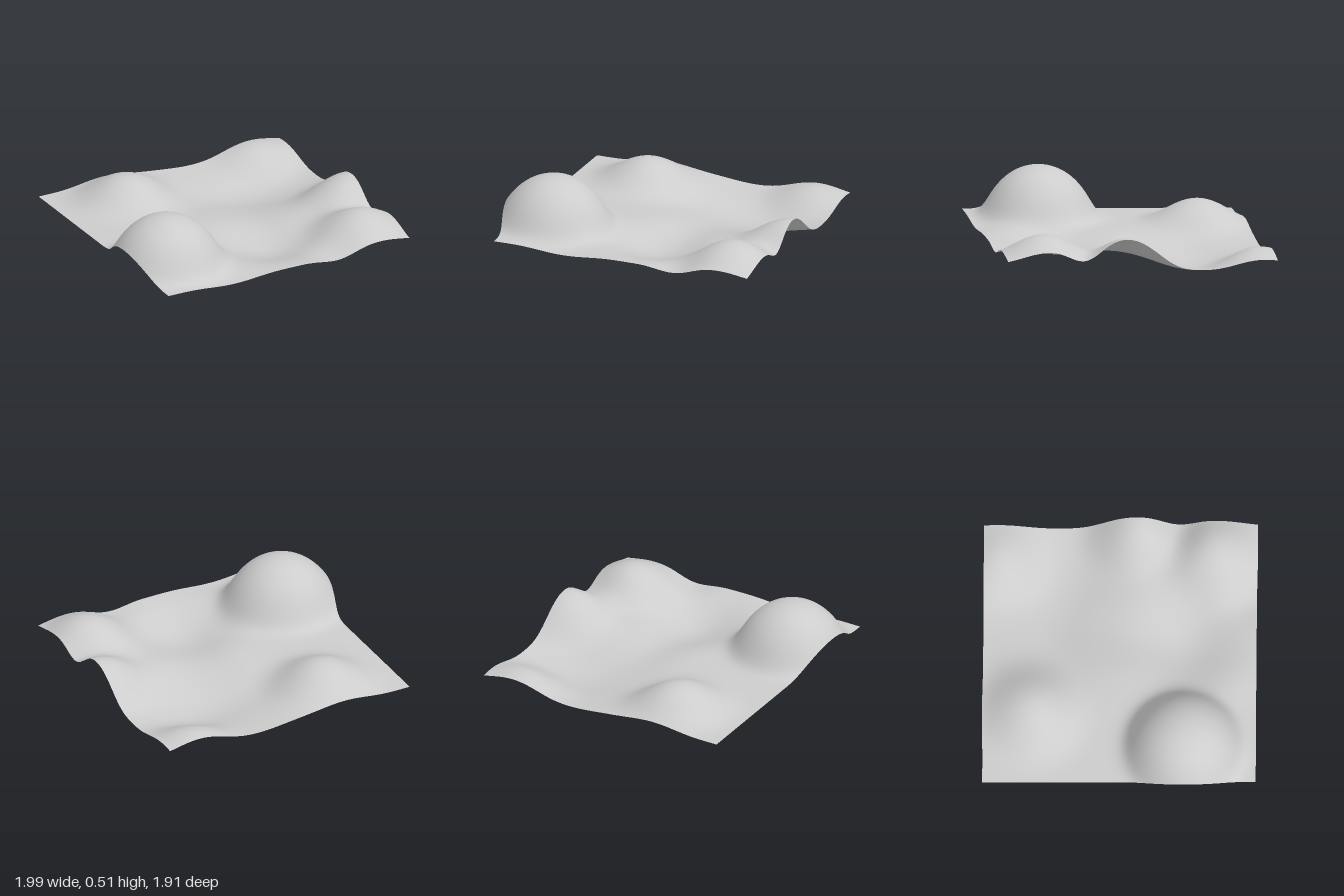
import * as THREE from 'three';

// Hills (h > 0) and hollows (h < 0): centre, height and radii of each
const FEATURES = [
  { x: -0.67, z: 0.445, h: 0.36, rx: 0.60, rz: 0.585 },  // tall dome on the edge
  { x: -0.40, z: -0.63, h: 0.172, rx: 0.58, rz: 0.57 },  // back hill
  { x: 0.76, z: 0.65, h: 0.16, rx: 0.54, rz: 0.55 },     // front hill
  { x: 0.96, z: 0.10, h: 0.17, rx: 0.56, rz: 0.52 },     // edge hill
  { x: 0.74, z: -0.81, h: 0.085, rx: 0.50, rz: 0.47 },   // low back ridge
  { x: 0.49, z: -0.43, h: -0.12, rx: 1.10, rz: 0.77 },   // wide hollow
  { x: 0.13, z: 0.46, h: -0.10, rx: 0.61, rz: 0.61 },    // front hollow
  { x: 0.22, z: 0.05, h: -0.03, rx: 0.45, rz: 0.45 },    // saddle between the hollows
  { x: 0.97, z: 0.39, h: -0.04, rx: 0.45, rz: 0.29 },    // valley between the right hills
  { x: -0.40, z: 0.98, h: -0.025, rx: 0.50, rz: 0.40 },  // dips along the front edge
  { x: 0.42, z: 0.95, h: -0.03, rx: 0.34, rz: 0.40 },
  { x: 0.25, z: -0.95, h: -0.025, rx: 0.50, rz: 0.45 },  // dip along the back edge
];

// Moves a point of the flat sheet up, and outward on the flanks of hills
function sculpt(p) {
  const { x, z } = p;
  p.y = 0.143 + 0.03 * z - 0.005 * x;
  for (const f of FEATURES) {
    const u = (x - f.x) / f.rx;
    const v = (z - f.z) / f.rz;
    const fall = Math.max(0, 1 - u * u - v * v) ** 4;
    p.y += f.h * fall;
    if (f.h > 0) {
      const swell = 8.8 * f.h ** 3 * fall;
      p.x += swell * u;
      p.z += swell * v;
    }
  }
  return p;
}

export function createModel() {
  const model = new THREE.Group();
  model.name = 'terrain';

  const lightGrey = new THREE.MeshStandardMaterial({ color: 0xcccccc, side: THREE.DoubleSide });
  lightGrey.name = 'light grey';

  // Thin ground sheet
  const geometry = new THREE.PlaneGeometry(1.9, 1.9, 140, 140);
  geometry.rotateX(-Math.PI / 2);
  geometry.translate(0.03, 0, -0.005);

  const position = geometry.attributes.position;
  const point = new THREE.Vector3();
  for (let i = 0; i < position.count; i++) {
    sculpt(point.fromBufferAttribute(position, i));
    position.setXYZ(i, point.x, point.y, point.z);
  }
  geometry.computeVertexNormals();

  const ground = new THREE.Mesh(geometry, lightGrey);
  ground.name = 'ground';
  model.add(ground);
  return model;
}
